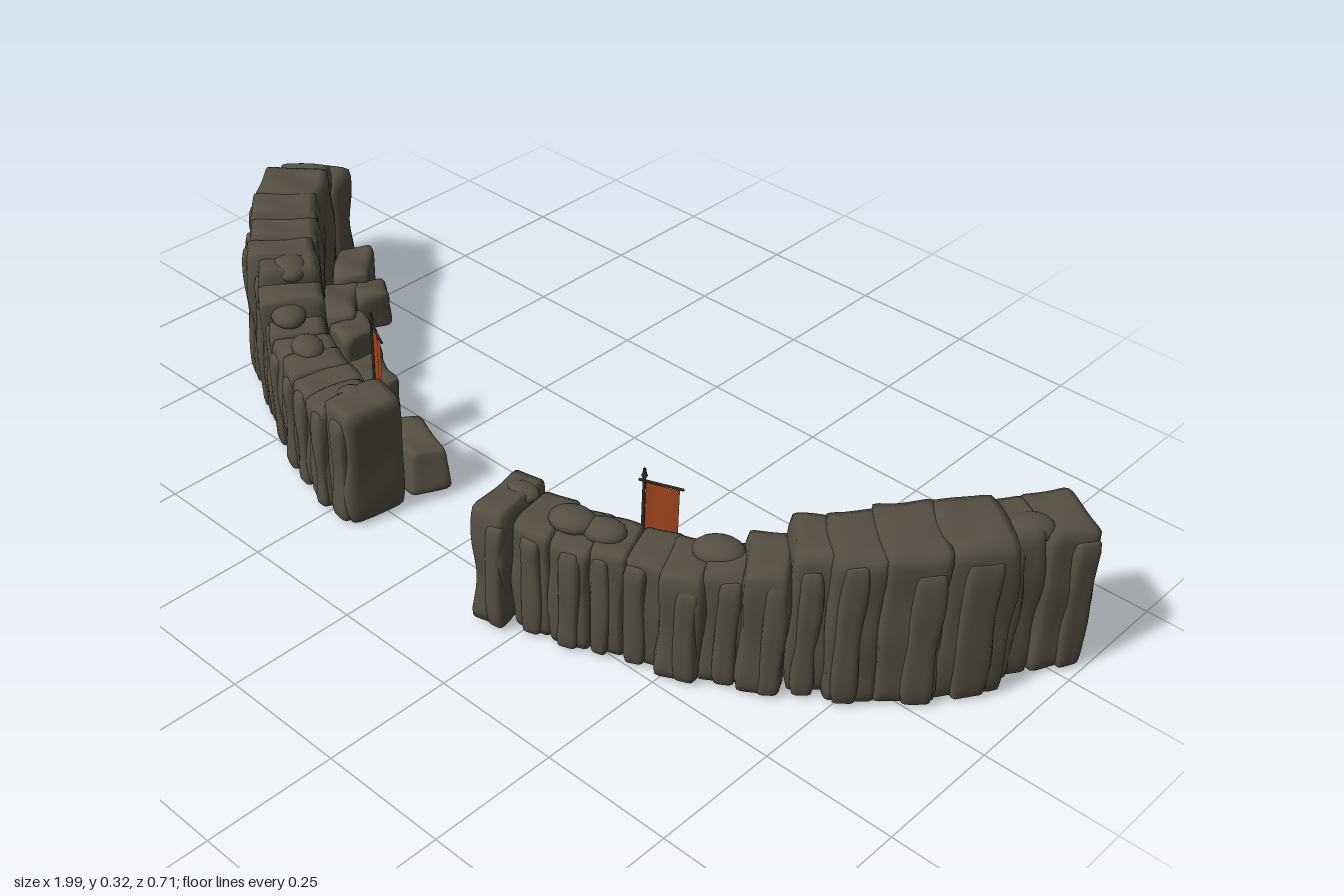
import * as THREE from 'three';
import { mergeVertices } from 'three/addons/utils/BufferGeometryUtils.js';

const rockMat = new THREE.MeshStandardMaterial({ color: 0x565042 });
rockMat.name = 'dark stone';
const clothMat = new THREE.MeshStandardMaterial({ color: 0xa0441f, side: THREE.DoubleSide });
clothMat.name = 'rust cloth';
const poleMat = new THREE.MeshStandardMaterial({ color: 0x2e2c27 });
poleMat.name = 'dark pole';

let seed = 7;
const rand = () => {
  seed = (seed * 16807) % 2147483647;
  return seed / 2147483647;
};

// Weathered block: rounded box with a gentle wavy surface, standing on y = 0
function rockGeometry(w, h, d, radius, wave, taper = 0) {
  let g = new THREE.BoxGeometry(w, h, d, 7, 12, 7);
  g.deleteAttribute('uv');
  g.deleteAttribute('normal');
  g = mergeVertices(g, 1e-5);
  const p = g.attributes.position;
  const half = new THREE.Vector3(w / 2, h / 2, d / 2);
  const inner = half.clone().subScalar(radius);
  const v = new THREE.Vector3(), c = new THREE.Vector3();
  const ph = rand() * 20;
  for (let i = 0; i < p.count; i++) {
    v.fromBufferAttribute(p, i);
    c.copy(v).clamp(inner.clone().negate(), inner);
    const n = v.clone().sub(c);
    if (n.lengthSq() > 0) v.copy(c).addScaledVector(n.normalize(), radius);
    const t = v.y / h + 0.5;
    const s = 1 - taper * t + wave / w * Math.sin(v.y * 38 + ph);
    v.x = v.x * s + wave * Math.sin(v.y * 23 + v.z * 30 + ph);
    v.z = v.z * s + wave * Math.sin(v.y * 29 + v.x * 35 + ph * 2);
    v.y += h / 2 + wave * t * Math.sin(v.x * 45 + v.z * 40 + ph);
    p.setXYZ(i, v.x, v.y, v.z);
  }
  g.computeVertexNormals();
  return g;
}

function addRock(parent, name, geometry, x, y, z, degrees) {
  const mesh = new THREE.Mesh(geometry, rockMat);
  mesh.name = name;
  mesh.position.set(x, y, z);
  mesh.rotation.y = THREE.MathUtils.degToRad(degrees);
  parent.add(mesh);
  return mesh;
}

function buildWall(name, { blocks, boulders, caps }) {
  const wall = new THREE.Group();
  wall.name = name;
  // Upright slabs, each with a slim rib on the outer face
  for (const [x, z, along, depth, h, deg] of blocks) {
    addRock(wall, 'wallSlab', rockGeometry(along, h - 0.004, depth, 0.013, 0.0025), x, 0.004, z, deg);
    const a = THREE.MathUtils.degToRad(deg);
    const out = depth / 2 - 0.014, side = (rand() - 0.5) * along * 0.5;
    addRock(wall, 'wallRib', rockGeometry(along * 0.5, h * (0.86 + rand() * 0.1), 0.045, 0.012, 0.002),
      x + Math.cos(a) * side + Math.sin(a) * out, 0.004,
      z - Math.sin(a) * side + Math.cos(a) * out, deg);
  }
  // Fallen boulders along the inner foot
  for (const [x, z, w, d, h, deg] of boulders)
    addRock(wall, 'footBoulder', rockGeometry(w, h, d, 0.016, 0.004, 0.18), x, 0.004, z, deg);
  // Rounded stones resting on the top
  for (const [x, y, z, r, deg] of caps) {
    const cap = addRock(wall, 'capStone', new THREE.SphereGeometry(r, 16, 10), x, y, z, deg);
    cap.scale.set(1.15, 0.55, 0.9);
  }
  return wall;
}

// Pole with a crossbar and a hanging cloth
function buildBanner(name, x, z, degrees, width) {
  const banner = new THREE.Group();
  banner.name = name;
  const pole = new THREE.Mesh(new THREE.CylinderGeometry(0.003, 0.004, 0.285, 8), poleMat);
  pole.name = 'pole';
  pole.position.y = 0.1425;
  const foot = new THREE.Mesh(new THREE.CylinderGeometry(0.009, 0.012, 0.025, 8), poleMat);
  foot.name = 'poleFoot';
  foot.position.y = 0.0125;
  const tip = new THREE.Mesh(new THREE.ConeGeometry(0.006, 0.02, 6), poleMat);
  tip.name = 'poleTip';
  tip.position.y = 0.28;
  const bar = new THREE.Mesh(new THREE.CylinderGeometry(0.0025, 0.0025, width + 0.02, 6), poleMat);
  bar.name = 'crossbar';
  bar.rotation.z = Math.PI / 2;
  bar.position.set(width / 2, 0.26, 0);
  const cloth = new THREE.Mesh(new THREE.PlaneGeometry(width, 0.145, 6, 8), clothMat);
  cloth.name = 'cloth';
  const p = cloth.geometry.attributes.position;
  for (let i = 0; i < p.count; i++) p.setZ(i, 0.003 * Math.sin(p.getX(i) * 90));
  cloth.geometry.computeVertexNormals();
  cloth.position.set(width / 2 + 0.003, 0.186, 0);
  banner.add(pole, foot, tip, bar, cloth);
  banner.position.set(x, 0, z);
  banner.rotation.y = THREE.MathUtils.degToRad(degrees);
  return banner;
}

// blocks: x, z, length, depth, height, angle
const leftBlocks = [
  [0.182, 0.275, 0.07, 0.14, 0.25, 12], [0.25, 0.25, 0.08, 0.12, 0.23, 15],
  [0.32, 0.235, 0.08, 0.12, 0.225, 18], [0.38, 0.215, 0.07, 0.1, 0.23, 20],
  [0.44, 0.185, 0.08, 0.11, 0.225, 25], [0.5, 0.17, 0.08, 0.12, 0.23, 28],
  [0.555, 0.135, 0.08, 0.1, 0.24, 35], [0.61, 0.1, 0.08, 0.13, 0.26, 38],
  [0.665, 0.05, 0.08, 0.12, 0.3, 42], [0.72, 0.015, 0.09, 0.14, 0.31, 45],
  [0.78, -0.05, 0.11, 0.15, 0.322, 48], [0.84, -0.13, 0.13, 0.15, 0.322, 55],
  [0.87, -0.21, 0.08, 0.12, 0.305, 58], [0.91, -0.285, 0.1, 0.13, 0.295, 62],
];
const rightBlocks = [
  [-0.21, 0.265, 0.09, 0.12, 0.25, -8], [-0.27, 0.265, 0.07, 0.12, 0.23, -10],
  [-0.33, 0.245, 0.08, 0.12, 0.225, -15], [-0.39, 0.225, 0.08, 0.12, 0.23, -20],
  [-0.45, 0.2, 0.08, 0.12, 0.225, -25], [-0.51, 0.17, 0.07, 0.11, 0.23, -30],
  [-0.56, 0.14, 0.08, 0.13, 0.27, -33], [-0.615, 0.1, 0.08, 0.12, 0.3, -35],
  [-0.66, 0.08, 0.08, 0.14, 0.305, -38], [-0.71, 0.03, 0.09, 0.14, 0.31, -43],
  [-0.77, -0.02, 0.1, 0.14, 0.322, -46], [-0.83, -0.09, 0.13, 0.14, 0.322, -52],
  [-0.875, -0.15, 0.08, 0.11, 0.305, -55], [-0.915, -0.21, 0.1, 0.14, 0.26, -60],
];

export function createModel() {
  const model = new THREE.Group();
  model.name = 'ruinedRockWalls';
  model.add(
    buildWall('leftWall', {
      blocks: leftBlocks,
      boulders: [
        [0.28, 0.095, 0.13, 0.09, 0.1, 30], [0.51, 0.005, 0.15, 0.1, 0.09, 27],
        [0.665, -0.15, 0.1, 0.09, 0.08, 60], [0.795, -0.26, 0.14, 0.12, 0.11, 8],
        [0.73, -0.13, 0.2, 0.09, 0.11, 50],
      ],
      caps: [[0.19, 0.24, 0.25, 0.028, 10], [0.3, 0.235, 0.24, 0.038, 20],
        [0.355, 0.23, 0.22, 0.035, 20], [0.53, 0.235, 0.13, 0.04, 30], [0.895, 0.29, -0.215, 0.04, 60]],
    }),
    buildWall('rightWall', {
      blocks: rightBlocks,
      boulders: [
        [-0.22, 0.13, 0.16, 0.09, 0.09, -20], [-0.45, 0.04, 0.14, 0.09, 0.09, -18],
        [-0.6, -0.04, 0.1, 0.1, 0.09, -10], [-0.69, -0.165, 0.09, 0.09, 0.09, -30],
        [-0.77, -0.19, 0.15, 0.09, 0.11, -42], [-0.69, -0.08, 0.16, 0.09, 0.1, -45],
      ],
      caps: [[-0.24, 0.235, 0.26, 0.03, 0], [-0.43, 0.232, 0.21, 0.034, -20],
        [-0.535, 0.24, 0.17, 0.038, -30], [-0.61, 0.285, 0.1, 0.04, -30]],
    }),
    buildBanner('leftBanner', 0.335, 0.1, 22, 0.062),
    buildBanner('rightBanner', -0.37, 0.1, -25, 0.06),
  );
  return model;
}
